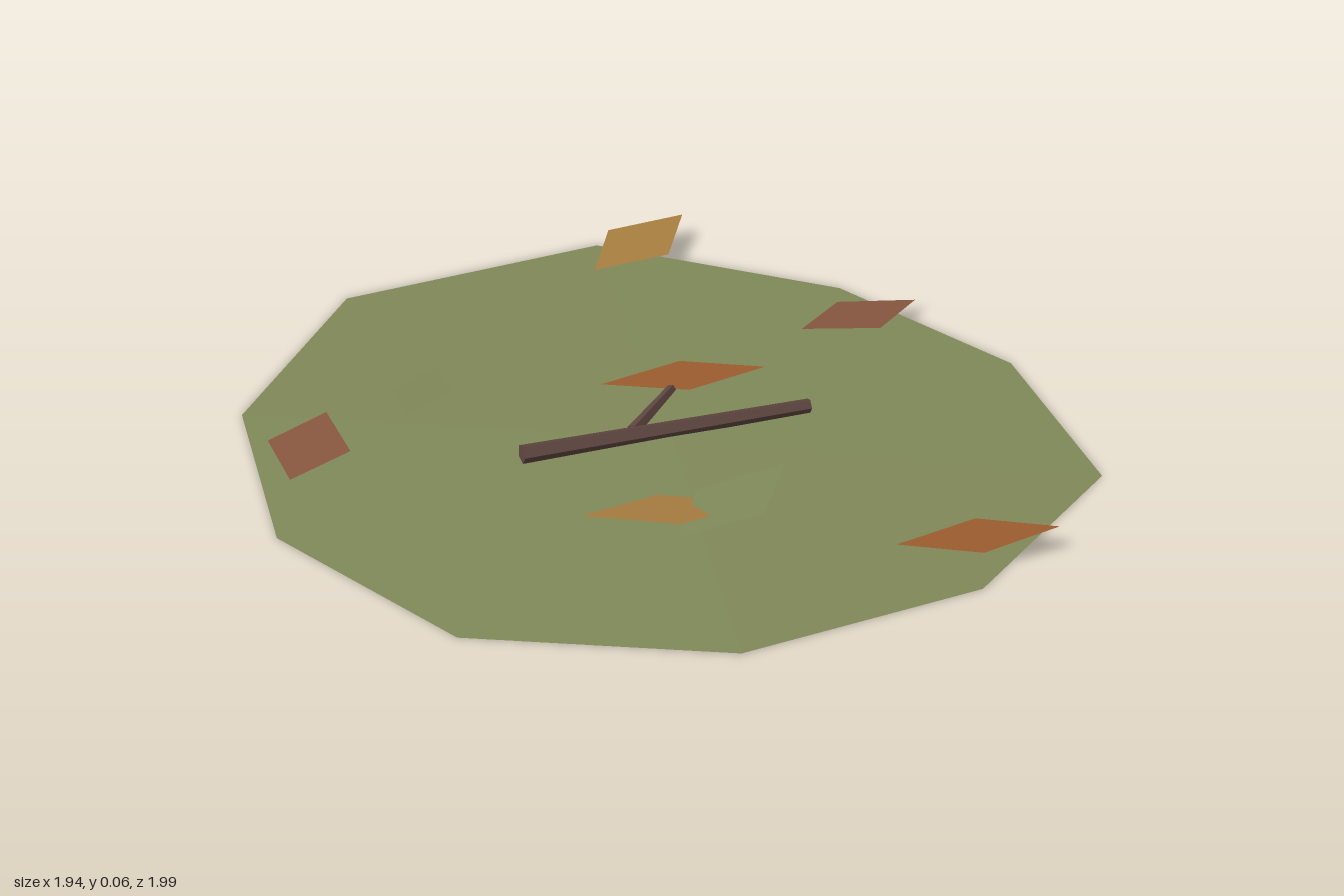
import * as THREE from 'three';

const mat = (name, color, extra = {}) => {
  const m = new THREE.MeshStandardMaterial({ color, ...extra });
  m.name = name;
  return m;
};
const sheet = { side: THREE.DoubleSide, flatShading: true };

// Fan of triangles around a centre point; the rim runs clockwise seen from above
function fan(name, centre, rim, material) {
  const pos = [];
  rim.forEach((p, i) => pos.push(...centre, ...p, ...rim[(i + 1) % rim.length]));
  const g = new THREE.BufferGeometry();
  g.setAttribute('position', new THREE.Float32BufferAttribute(pos, 3));
  g.computeVertexNormals();
  // Keep the front side facing up
  if (g.attributes.normal.getY(0) < 0) {
    for (let i = 0; i < pos.length; i += 9) {
      for (let k = 0; k < 3; k++) [pos[i + 3 + k], pos[i + 6 + k]] = [pos[i + 6 + k], pos[i + 3 + k]];
    }
    g.setAttribute('position', new THREE.Float32BufferAttribute(pos, 3));
    g.computeVertexNormals();
  }
  const mesh = new THREE.Mesh(g, material);
  mesh.name = name;
  return mesh;
}

// Tapered five-sided stick between two points
function stick(name, from, to, r0, r1, material) {
  const a = new THREE.Vector3(...from), b = new THREE.Vector3(...to);
  const d = b.clone().sub(a);
  const g = new THREE.CylinderGeometry(r1, r0, d.length(), 5);
  g.rotateZ(-Math.PI / 2);
  g.rotateZ(Math.asin(d.y / d.length()));
  g.rotateY(Math.atan2(-d.z, d.x));
  const mesh = new THREE.Mesh(g, material);
  mesh.name = name;
  mesh.position.copy(a.add(b).multiplyScalar(0.5));
  return mesh;
}

export function createModel() {
  const moss = mat('moss green', 0x808959, sheet);
  const ochre = mat('ochre', 0xa67d40, sheet);
  const rust = mat('rust orange', 0x9a5b2f, sheet);
  const russet = mat('russet', 0x885740, sheet);
  const bark = mat('bark brown', 0x5f4640, { flatShading: true });

  const group = new THREE.Group();
  group.name = 'leafLitter';

  // Shallow, uneven ten-sided mound
  const rim = [
    [0.97, 0], [0.79, 0.58], [0.305, 0.97], [-0.333, 0.99], [-0.803, 0.576],
    [-0.97, 0], [-0.824, -0.592], [-0.312, -0.93], [0.254, -0.808], [0.687, -0.507],
  ].map(([x, z]) => [x, 0, z]);
  group.add(fan('ground', [0, 0.018, 0], rim, moss));

  // Fallen leaves: low tip, side, high tip, side (x, z)
  const low = 0.03, high = 0.056, mid = (low + high) / 2;
  const leaves = [
    [ochre, [-0.29, -0.755], [-0.285, -0.925], [-0.13, -1.0], [-0.135, -0.83]],
    [russet, [0.438, -0.721], [0.272, -0.66], [0.217, -0.494], [0.386, -0.55]],
    [rust, [-0.193, -0.211], [-0.032, -0.325], [0.164, -0.301], [0.01, -0.19]],
    [russet, [-0.808, 0.35], [-0.882, 0.195], [-0.77, 0.063], [-0.692, 0.217]],
    [rust, [0.576, 0.454], [0.734, 0.327], [0.93, 0.362], [0.779, 0.489]],
    [ochre, [0.238, 0.304], [0.09, 0.454], [-0.132, 0.473], [0.016, 0.322]],
    [moss, [0.085, 0.502], [0.1, 0.285], [0.28, 0.15], [0.264, 0.375]],
    [moss, [-0.57, -0.243], [-0.65, -0.09], [-0.587, 0.053], [-0.507, -0.095]],
  ];
  leaves.forEach(([material, ...pts], i) => {
    const ys = [low, mid, high, mid];
    const corners = pts.map(([x, z], k) => [x, ys[k], z]);
    const centre = [0, 1, 2].map((k) => (corners[0][k] + corners[2][k]) / 2);
    group.add(fan(`leaf${i + 1}`, centre, corners, material));
  });

  // Twig with a side branch
  group.add(stick('twig', [-0.315, 0.032, 0.153], [0.283, 0.033, -0.176], 0.023, 0.017, bark));
  group.add(stick('twigBranch', [-0.088, 0.028, 0.0], [-0.03, 0.042, -0.192], 0.016, 0.011, bark));

  return group;
}
